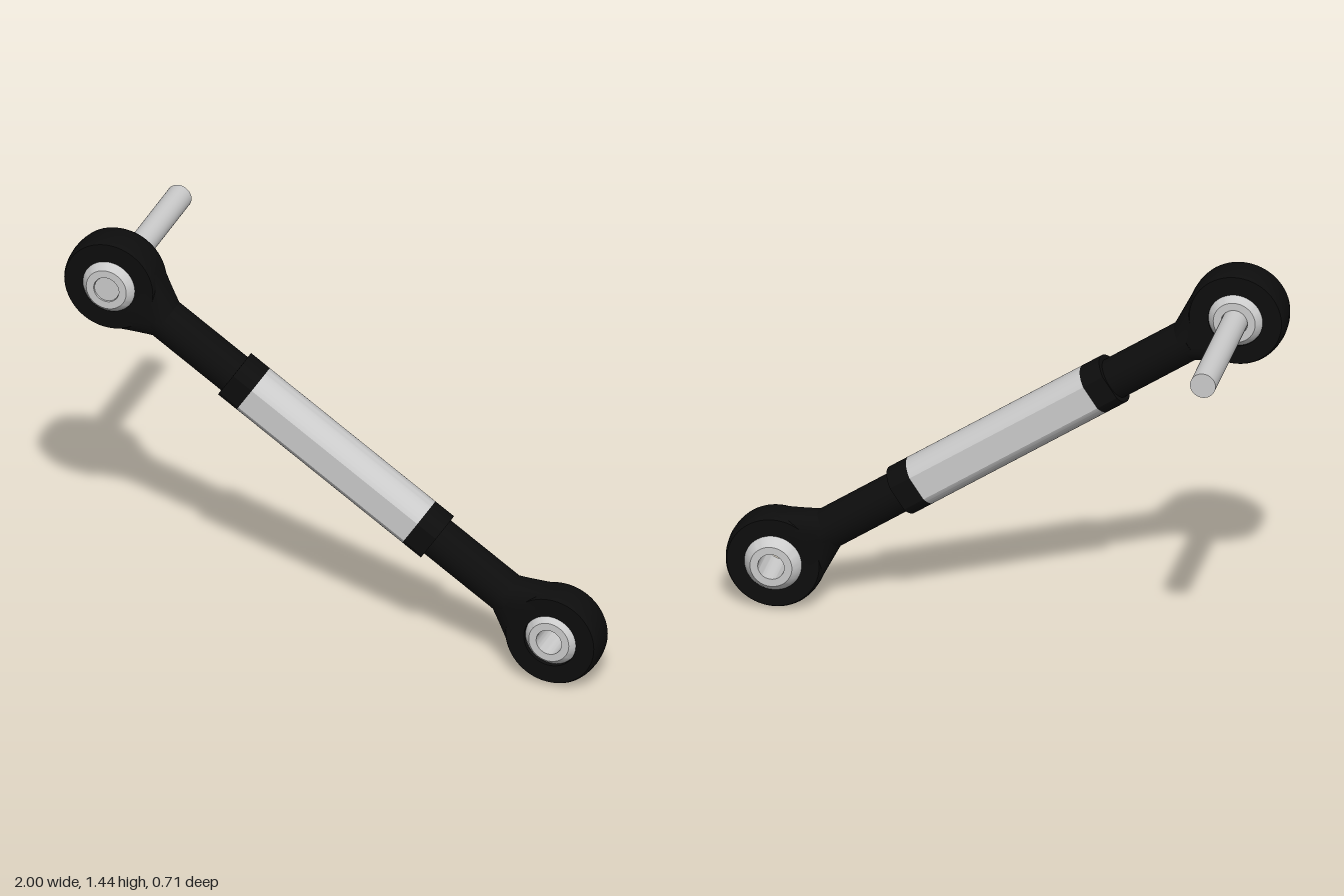
import * as THREE from 'three';
import { toCreasedNormals } from 'three/addons/utils/BufferGeometryUtils.js';

const black = new THREE.MeshStandardMaterial({ color: 0x0d0d0d });
const grey = new THREE.MeshStandardMaterial({ color: 0xcccccc });

const HALF = 0.985;      // from the middle of the rod to each eye centre
const SHAFT_R = 0.074;

function add(parent, name, geometry, material) {
  const mesh = new THREE.Mesh(geometry, material);
  mesh.name = name;
  parent.add(mesh);
  return mesh;
}

// Lathe of a closed profile, turned so that its axis is z
function ring(points) {
  const profile = [...points, points[0]].map(([r, h]) => new THREE.Vector2(r, h));
  const g = new THREE.LatheGeometry(profile, 64).rotateX(Math.PI / 2);
  return toCreasedNormals(g, 0.5);
}

// Round bar along x with a flat on its front and back
function flattedBar(x0, x1) {
  const r = 0.092, t = Math.asin(0.08 / r);
  const s = new THREE.Shape();
  s.absarc(0, 0, r, -t, t);
  s.absarc(0, 0, r, Math.PI - t, Math.PI + t);
  const g = new THREE.ExtrudeGeometry(s, { depth: x1 - x0, bevelEnabled: false, curveSegments: 20 });
  g.rotateX(Math.PI / 2).rotateZ(Math.PI / 2).translate(x0, 0, 0);
  return toCreasedNormals(g, 0.35);
}

// Neck that blends from the flat eye to the round shaft
function neckGeometry() {
  const rings = 10, sides = 48, pos = [], index = [];
  const pow = (v, e) => Math.sign(v) * Math.abs(v) ** e;
  for (let i = 0; i <= rings; i++) {
    const t = i / rings;
    const x = THREE.MathUtils.lerp(0.1, 0.226, t);
    const hy = THREE.MathUtils.lerp(0.1445, SHAFT_R, t);
    const hz = THREE.MathUtils.lerp(0.065, SHAFT_R, t);
    const e = THREE.MathUtils.lerp(0.4, 1, t);
    for (let j = 0; j < sides; j++) {
      const a = (j / sides) * Math.PI * 2;
      pos.push(x, hy * pow(Math.cos(a), e), hz * pow(Math.sin(a), e));
      if (i === rings) continue;
      const p = i * sides + j, q = i * sides + (j + 1) % sides;
      index.push(p, q, p + sides, q, q + sides, p + sides);
    }
  }
  const g = new THREE.BufferGeometry();
  g.setAttribute('position', new THREE.Float32BufferAttribute(pos, 3));
  g.setIndex(index);
  g.computeVertexNormals();
  return g;
}

// Rod end with its eye at the origin and its shaft towards +x
function rodEnd(ballOffset) {
  const end = new THREE.Group();

  add(end, 'eye', ring([
    [0.097, -0.065], [0.164, -0.065], [0.17, -0.055], [0.174, -0.035], [0.1765, 0],
    [0.174, 0.035], [0.17, 0.055], [0.164, 0.065], [0.097, 0.065],
  ]), black);
  add(end, 'neck', neckGeometry(), black);

  const len = HALF - 0.45 - 0.2;
  const shaft = new THREE.CylinderGeometry(SHAFT_R, SHAFT_R, len, 48).rotateZ(Math.PI / 2);
  add(end, 'shaft', shaft.translate(0.2 + len / 2, 0, 0), black);

  // Truncated ball with a bore
  const R = 0.115, h = 0.0875, points = [[0.047, -h]];
  for (let i = 0; i <= 12; i++) {
    const y = -h + (2 * h * i) / 12;
    points.push([Math.sqrt(R * R - y * y), y]);
  }
  points.push([0.047, h]);
  add(end, 'ball', ring(points), grey).position.z = ballOffset;
  return end;
}

export function createModel() {
  const model = new THREE.Group();
  model.name = 'linkRod';
  model.position.set(0, 0.7225, 0.265);
  model.rotation.z = -Math.atan2(1.085, 1.645);

  // Adjuster body with a lock nut at each end
  add(model, 'adjusterBody', flattedBar(-0.37, 0.37), grey);
  add(model, 'upperLockNut', flattedBar(-0.453, -0.37), black);
  add(model, 'lowerLockNut', flattedBar(0.37, 0.453), black);

  // Upper rod end, with a pin reaching backwards
  const upper = rodEnd(0.0025);
  upper.name = 'upperRodEnd';
  upper.position.x = -HALF;
  const pin = new THREE.CylinderGeometry(0.0455, 0.0455, 0.705, 40).rotateX(Math.PI / 2);
  add(upper, 'pin', pin, grey).position.z = -0.2675;
  model.add(upper);

  // Lower rod end, with an open bore
  const lower = rodEnd(-0.0125);
  lower.name = 'lowerRodEnd';
  lower.position.x = HALF;
  lower.rotation.z = Math.PI;
  model.add(lower);

  const root = new THREE.Group();
  root.add(model);
  return root;
}
